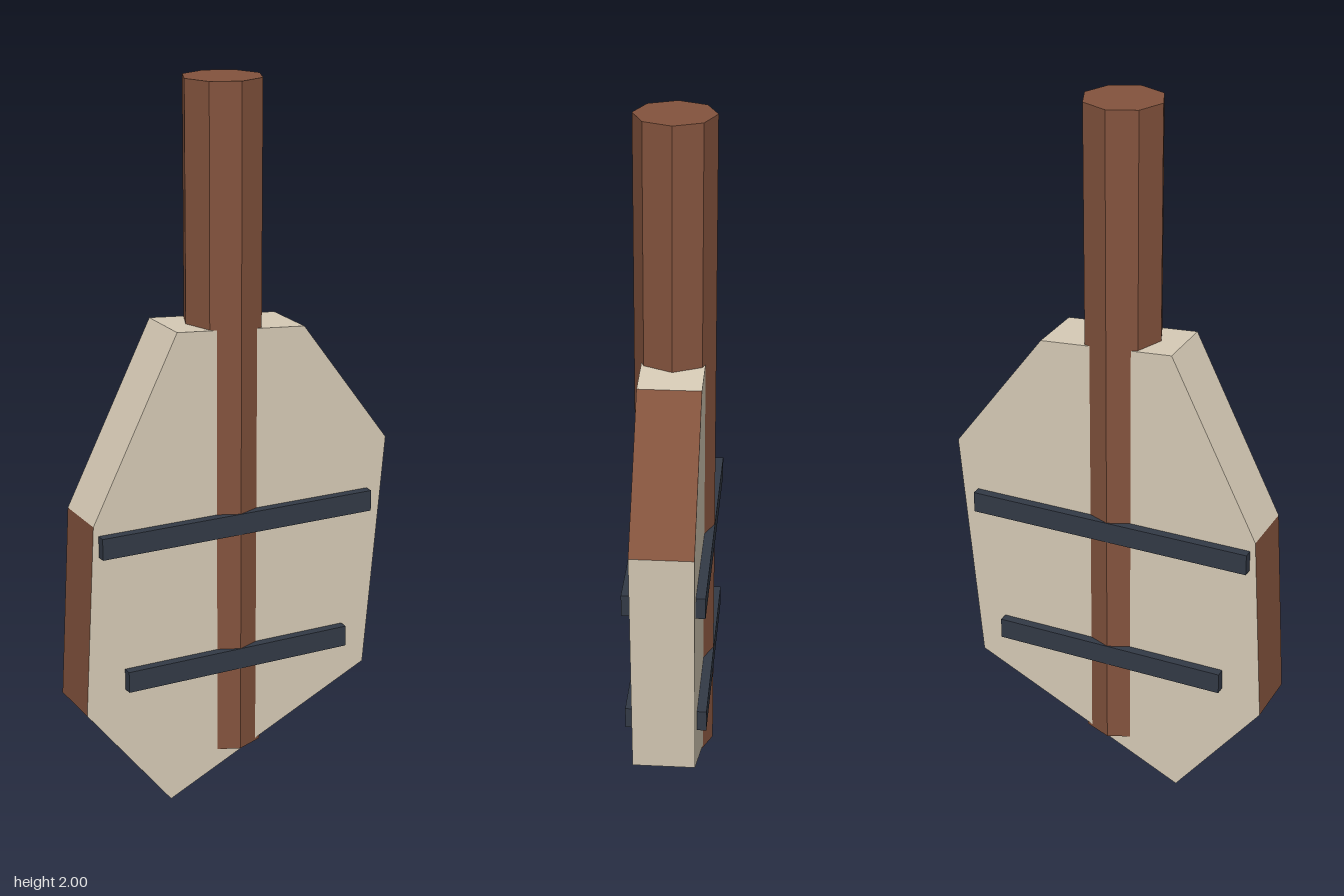
import * as THREE from 'three';

const mat = (name, color) => {
  const m = new THREE.MeshStandardMaterial({ color });
  m.name = name;
  return m;
};

export function createModel() {
  const stone = mat('pale stone', 0xd8ccb7);
  const wood = mat('brown wood', 0x83533d);
  const iron = mat('dark iron', 0x333a46);
  const group = new THREE.Group();

  const add = (name, geometry, material, x, y, z) => {
    const mesh = new THREE.Mesh(geometry, material);
    mesh.name = name;
    mesh.position.set(x, y, z);
    group.add(mesh);
  };

  // Blade: irregular slab, outline runs counter-clockwise from the top left
  const outline = [
    [-0.185, 1.355], [-0.435, 0.855], [-0.465, 0.312], [-0.215, 0],
    [0.403, 0.295], [0.463, 0.97], [0.197, 1.325],
  ].map(([x, y]) => new THREE.Vector2(x, y));
  const depth = 0.17;
  const blade = new THREE.ExtrudeGeometry(new THREE.Shape(outline), { depth, bevelEnabled: false });

  // Rim faces alternate stone and wood, following the outline from its first edge
  const n = outline.length;
  const capCount = (n - 2) * 6;
  blade.clearGroups();
  blade.addGroup(0, capCount, 0);
  for (let i = 0; i < n; i++) blade.addGroup(capCount + i * 6, 6, i % 2);
  add('blade', blade, [stone, wood], 0, 0, -depth / 2);

  // Handle: octagonal shaft running down through the blade
  const shaft = new THREE.CylinderGeometry(0.11, 0.11, 1.88, 8).toNonIndexed();
  shaft.computeVertexNormals();
  add('handle', shaft, wood, -0.008, 1.06, 0);

  // Bands crossing both faces of the blade
  add('upperBand', new THREE.BoxGeometry(0.825, 0.06, 0.222), iron, -0.008, 0.797, 0);
  add('lowerBand', new THREE.BoxGeometry(0.68, 0.06, 0.222), iron, -0.01, 0.398, 0);

  return group;
}
